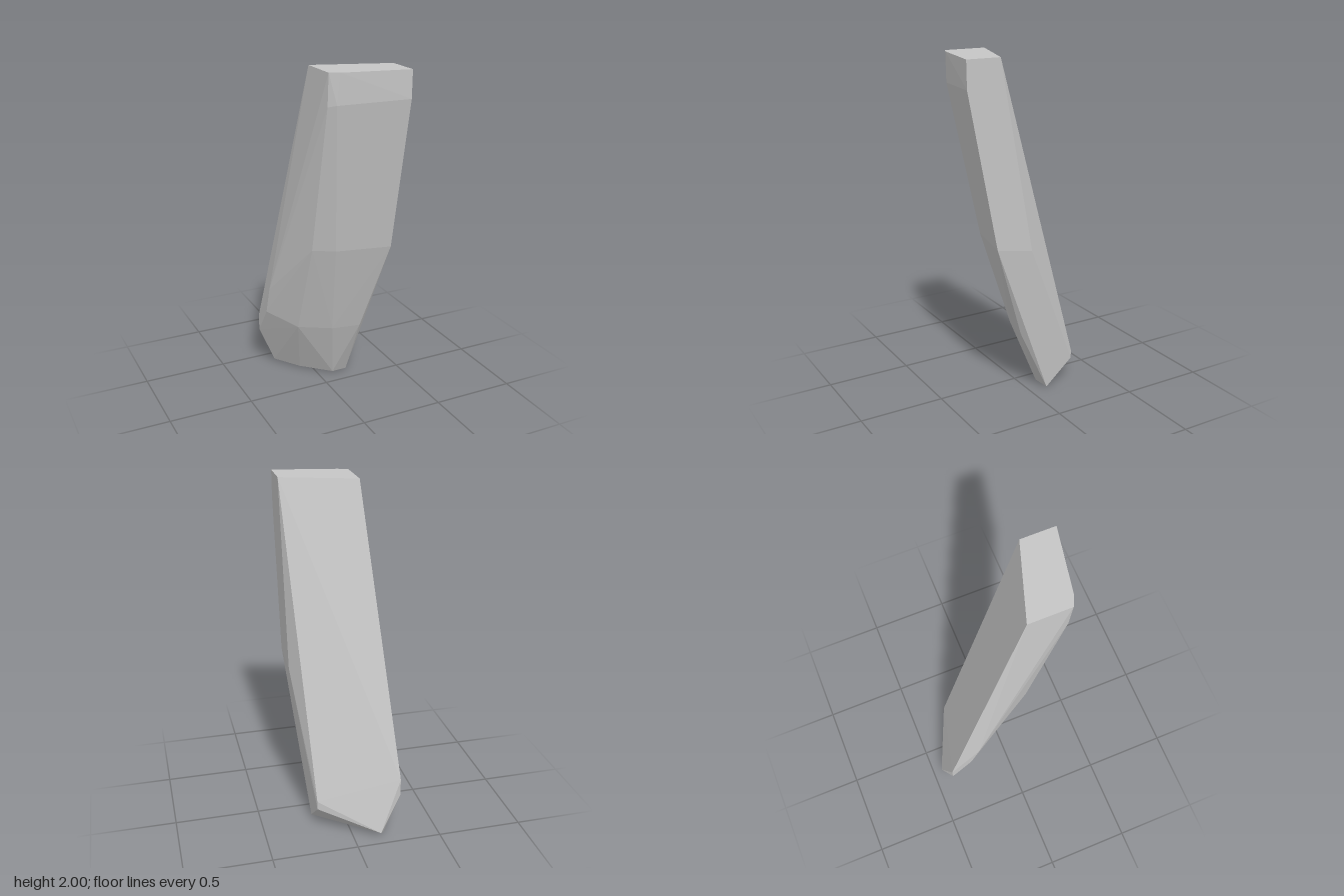
import * as THREE from 'three';
import { ConvexGeometry } from 'three/addons/geometries/ConvexGeometry.js';

export function createModel() {
  const stone = new THREE.MeshStandardMaterial({ color: 0xc5c5c5, flatShading: true });
  stone.name = 'grey stone';

  // Corners of the faceted, leaning shard, ring by ring from top to bottom
  const rings = [
    // flat top
    [[-0.155, 2, 0.103], [0.277, 2, 0.246], [0.277, 2, 0.445], [-0.1, 2, 0.372], [-0.155, 2, 0.345]],
    // top band of the front face
    [[0.277, 1.845, 0.443], [-0.115, 1.83, 0.362], [-0.155, 1.82, 0.333]],
    // middle bend
    [[0.277, 0.96, 0.27], [-0.04, 0.96, 0.205], [-0.155, 0.96, 0.135], [0.277, 0.92, 0.05]],
    // lower bend
    [[-0.28, 0.6, -0.215], [-0.28, 0.43, -0.27], [-0.155, 0.385, -0.075], [0.02, 0.39, 0.04], [0.19, 0.39, 0.07]],
    // foot of the back face
    [[-0.28, 0.35, -0.402], [-0.28, 0.25, -0.402], [0.19, 0.2, -0.286], [0.19, 0.15, -0.286]],
    // pointed base
    [[0.19, 0, -0.112], [0.09, 0.008, -0.097], [-0.07, 0.008, -0.25], [-0.18, 0.01, -0.405], [-0.155, 0.03, -0.445]],
  ];
  const points = rings.flat().map(([x, y, z]) => new THREE.Vector3(x, y, z));

  const shard = new THREE.Mesh(new ConvexGeometry(points), stone);
  shard.name = 'stoneShard';

  const group = new THREE.Group();
  group.name = 'rockShard';
  group.add(shard);
  return group;
}
